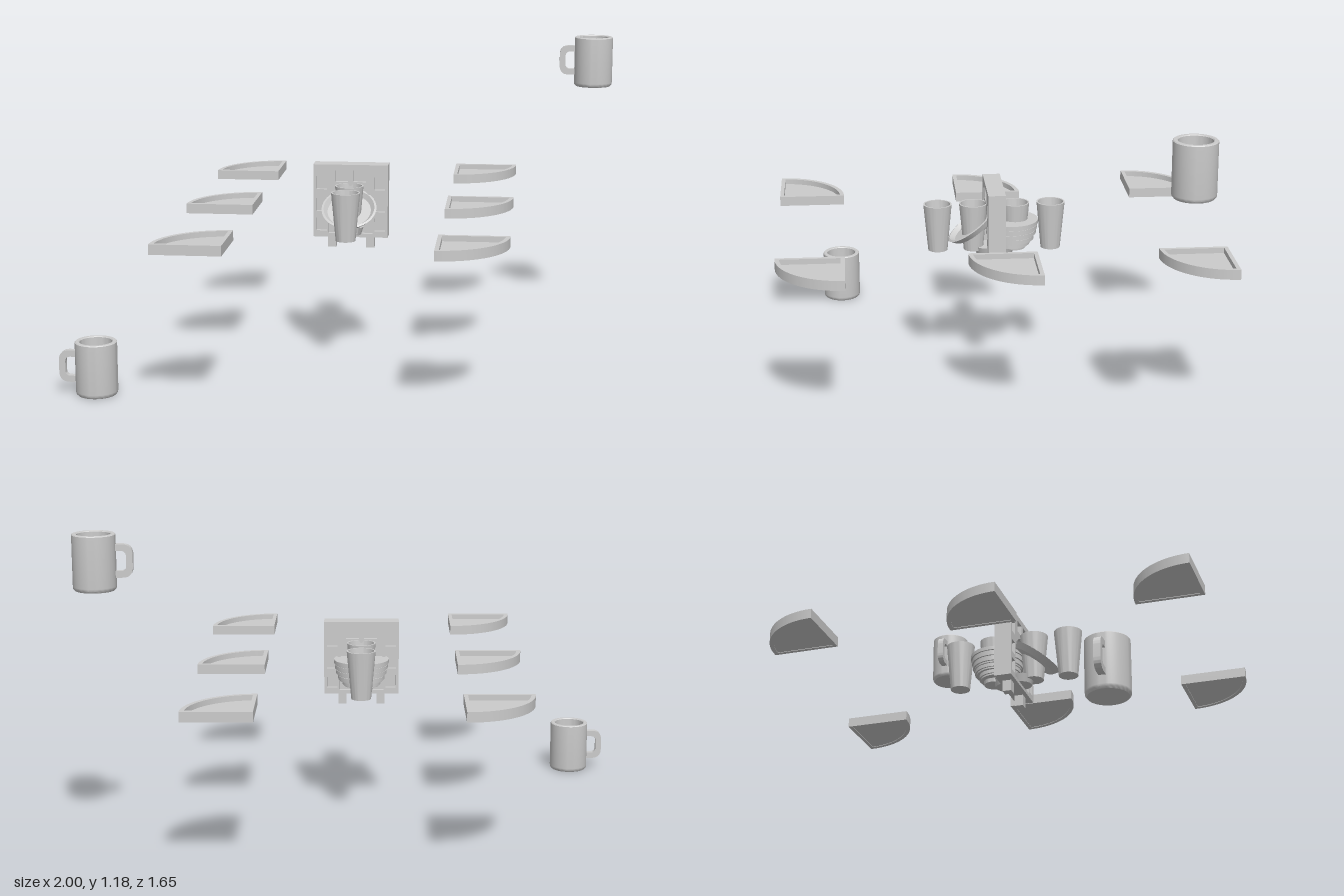
import * as THREE from 'three';
import { toCreasedNormals } from 'three/addons/utils/BufferGeometryUtils.js';

const grey = new THREE.MeshStandardMaterial({ color: 0xcccccc, side: THREE.DoubleSide });
const V = (x, y) => new THREE.Vector2(x, y);

function part(parent, name, geometry, x = 0, y = 0, z = 0) {
  const mesh = new THREE.Mesh(geometry, grey);
  mesh.name = name;
  mesh.position.set(x, y, z);
  parent.add(mesh);
  return mesh;
}

const lathe = (pts) => toCreasedNormals(new THREE.LatheGeometry(pts, 48), 0.6);
const extrude = (shape, depth) => toCreasedNormals(
  new THREE.ExtrudeGeometry(shape, { depth, bevelEnabled: false, curveSegments: 24 }), 0.5);

// Quarter disc with its square corner at (o, o)
function quarter(r, o = 0) {
  const s = new THREE.Shape();
  const a = Math.asin(o / r);
  s.moveTo(o, o);
  s.lineTo(r * Math.cos(a), o);
  s.absarc(0, 0, r, a, Math.PI / 2 - a, false);
  s.lineTo(o, o);
  return s;
}

function rect(x, y, w, h) {
  const s = new THREE.Path();
  s.setFromPoints([V(x - w / 2, y - h / 2), V(x + w / 2, y - h / 2), V(x + w / 2, y + h / 2), V(x - w / 2, y + h / 2)]);
  s.closePath();
  return s;
}

// Mug with a D-shaped handle towards -x
function createMug() {
  const g = new THREE.Group();
  g.name = 'mug';
  part(g, 'mugBody', lathe([V(0, 0), V(0.069, 0), V(0.075, 0.007), V(0.076, 0.015), V(0.076, 0.195),
    V(0.073, 0.198), V(0.062, 0.198), V(0.059, 0.195), V(0.059, 0.02), V(0, 0.02)]));
  const d = (l, b, t, r) => {
    const s = new THREE.Shape();
    s.moveTo(-0.068, b);
    s.lineTo(l + r, b);
    s.quadraticCurveTo(l, b, l, b + r);
    s.lineTo(l, t - r);
    s.quadraticCurveTo(l, t, l + r, t);
    s.lineTo(-0.068, t);
    s.closePath();
    return s;
  };
  const handle = d(-0.135, 0.045, 0.162, 0.038);
  handle.holes.push(d(-0.112, 0.068, 0.139, 0.02));
  part(g, 'mugHandle', extrude(handle, 0.024), 0, 0, -0.012);
  return g;
}

// Quarter-round tray with a raised rim
function createTray() {
  const g = new THREE.Group();
  g.name = 'cornerTray';
  const rim = quarter(0.253);
  rim.holes.push(quarter(0.237, 0.015));
  part(g, 'trayRim', extrude(rim, 0.037).rotateX(-Math.PI / 2));
  part(g, 'trayFloor', extrude(quarter(0.25, 0.003), 0.015).rotateX(-Math.PI / 2), 0, 0.002, 0);
  return g;
}

const cupGeometry = () => lathe([V(0, 0), V(0.037, 0), V(0.054, 0.182), V(0.048, 0.182), V(0.034, 0.012), V(0, 0.012)]);

// Upright panel with recessed cells, feet, dishes and cups
function createDispenser() {
  const g = new THREE.Group();
  g.name = 'dispenser';

  const frame = new THREE.Shape();
  frame.setFromPoints([V(-0.142, 0.476), V(0.142, 0.476), V(0.142, 0.756), V(-0.142, 0.756)]);
  for (const s of [-1, 1]) {
    frame.holes.push(rect(s * 0.034, 0.712, 0.05, 0.044));
    for (const y of [0.685, 0.6, 0.525]) frame.holes.push(rect(s * 0.111, y, 0.04, 0.05));
  }
  const arch = new THREE.Path();
  arch.moveTo(-0.085, 0.49);
  arch.lineTo(0.085, 0.49);
  arch.lineTo(0.085, 0.59);
  arch.absarc(0, 0.59, 0.085, 0, Math.PI, false);
  arch.closePath();
  frame.holes.push(arch);
  part(g, 'panelFrame', extrude(frame, 0.066), 0, 0, -0.033);
  part(g, 'panelBack', new THREE.BoxGeometry(0.28, 0.276, 0.03), 0, 0.616, 0);
  for (const s of [-1, 1]) {
    part(g, 'foot', new THREE.BoxGeometry(0.032, 0.05, 0.034), s * 0.073, 0.458, 0);
    part(g, 'innerCup', cupGeometry(), 0, 0.503, s * 0.08);
    part(g, 'outerCup', cupGeometry(), 0, 0.503, s * 0.216);
    part(g, 'lowerLedge', new THREE.CylinderGeometry(0.05, 0.04, 0.03, 32), 0, 0.503, s * 0.03);
  }

  // Round dish sloping down to the front, around the inner cup
  const dish = part(g, 'slopingDish', lathe([V(0.046, 0), V(0.088, 0), V(0.104, 0.022),
    V(0.096, 0.024), V(0.082, 0.008), V(0.046, 0.008)]), 0, 0.582, 0.078);
  dish.rotation.x = THREE.MathUtils.degToRad(35);

  // Stepped basin on the back
  [[0.104, 0.6], [0.1, 0.58], [0.096, 0.56], [0.088, 0.538], [0.072, 0.518]].forEach(([r, y]) =>
    part(g, 'basinStep', lathe([V(0.04, 0), V(r - 0.006, 0), V(r - 0.006, 0.006), V(r, 0.006),
      V(r, 0.02), V(0.04, 0.02)]), 0, y, -0.064));
  return g;
}

export function createModel() {
  const model = new THREE.Group();
  model.name = 'cupStationSet';
  model.add(createDispenser());

  // Six corner trays in two mirrored columns
  for (const row of [-0.7, 0, 0.7]) {
    for (const s of [-1, 1]) {
      const tray = createTray();
      tray.position.set(s * 0.363, 0.575, row - s * 0.127 - 0.003);
      tray.rotation.y = -s * Math.PI / 2;
      model.add(tray);
    }
  }

  // Two mugs on opposite corners
  for (const [x, y, z] of [[0.921, 0.986, -0.59], [-0.865, 0, 0.592]]) {
    const mug = createMug();
    mug.position.set(x, y, z);
    model.add(mug);
  }
  return model;
}
